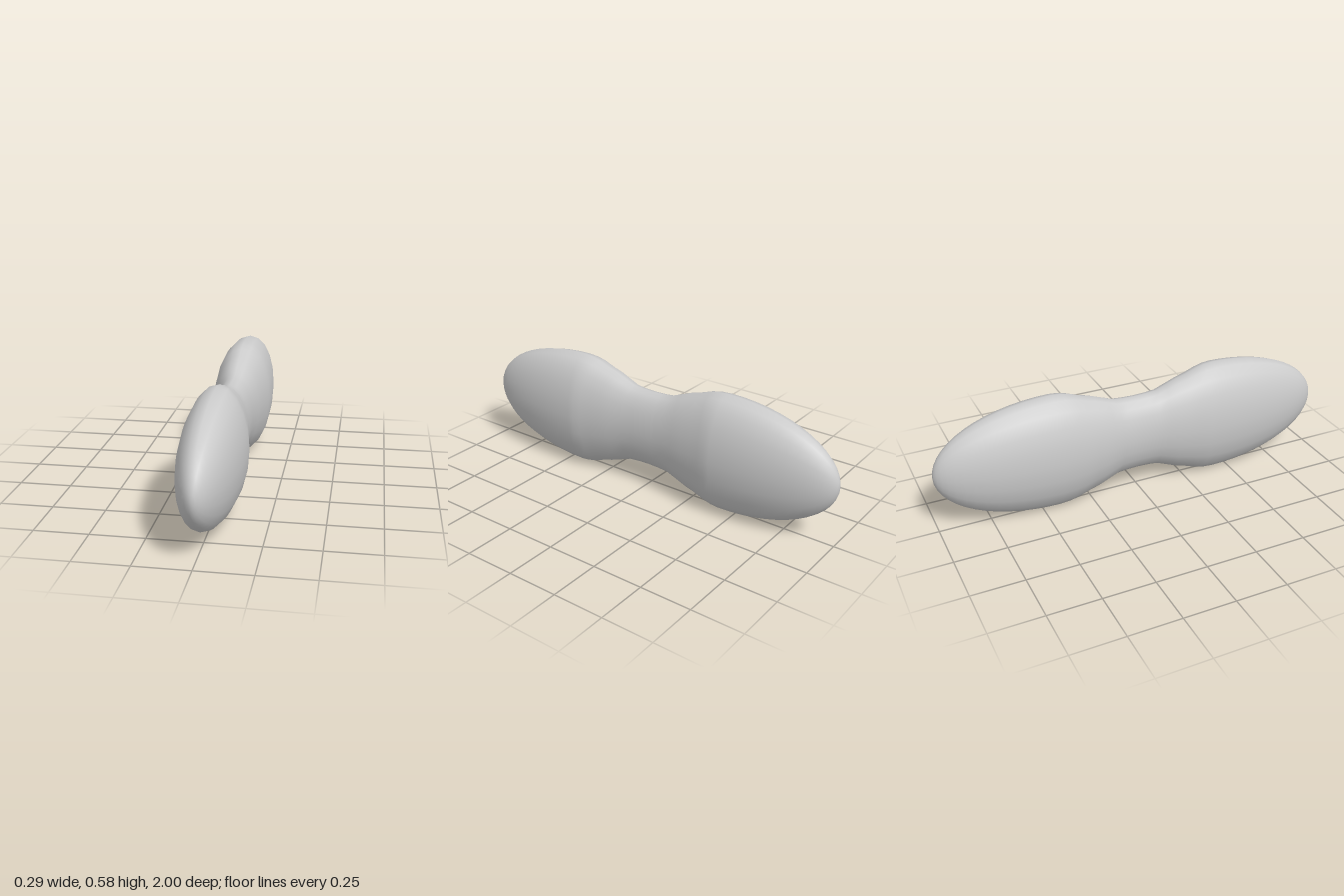
import * as THREE from 'three';

const SIDES = 20, CENTER_Y = 0.2925, RATIO = 0.495;

// Half of the outline from the waist to one tip: [z, half height, skew in z]
function halfProfile() {
  const rows = [
    [0.06, 0.196, 0], [0.11, 0.201, 0.012], [0.165, 0.222, 0.022],
    [0.22, 0.243, 0.03], [0.27, 0.257, 0.032], [0.325, 0.277, 0.03], [0.37, 0.288, 0.02],
  ];
  const steps = 14;
  for (let i = 0; i < steps; i++) {
    const t = (i / steps) * Math.PI / 2;
    rows.push([0.42 + 0.58 * Math.sin(t), 0.292 * Math.cos(t), 0]);
  }
  return rows;
}

// Loft of elliptical rings along z, closed by a single vertex at each tip
function bodyGeometry() {
  const half = halfProfile();
  const rings = [
    ...half.map(([z, r, s]) => [-z, r, -s]).reverse(),
    [0, 0.194, 0],
    ...half,
  ];
  const pos = [], index = [];
  for (const [z, r, skew] of rings) {
    for (let j = 0; j < SIDES; j++) {
      const a = (j / SIDES) * Math.PI * 2;
      pos.push(RATIO * r * Math.cos(a), CENTER_Y + r * Math.sin(a), z + skew * Math.cos(a));
    }
  }
  const back = pos.length / 3, front = back + 1;
  pos.push(0, CENTER_Y, -1, 0, CENTER_Y, 1);
  const last = (rings.length - 1) * SIDES;
  for (let j = 0; j < SIDES; j++) {
    const k = (j + 1) % SIDES;
    for (let i = 0; i < last; i += SIDES) {
      index.push(i + j, i + k, i + SIDES + j, i + k, i + SIDES + k, i + SIDES + j);
    }
    index.push(back, k, j, front, last + j, last + k);
  }
  const geometry = new THREE.BufferGeometry();
  geometry.setAttribute('position', new THREE.Float32BufferAttribute(pos, 3));
  geometry.setIndex(index);
  geometry.computeVertexNormals();
  return geometry;
}

export function createModel() {
  const group = new THREE.Group();
  group.name = 'doubleLobedForm';
  const body = new THREE.Mesh(bodyGeometry(), new THREE.MeshStandardMaterial({ color: 0xcccccc }));
  body.name = 'body';
  group.add(body);
  return group;
}
